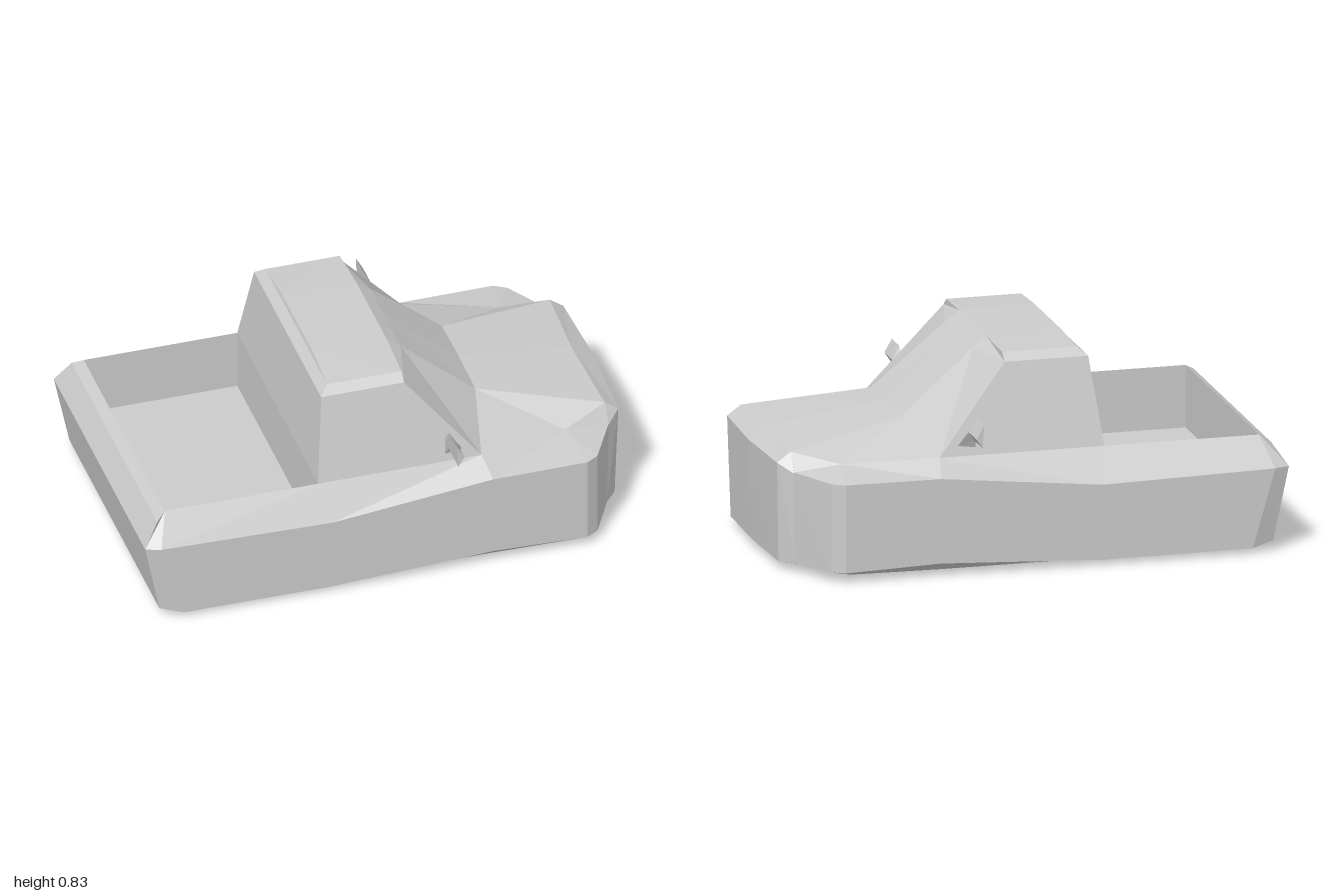
import * as THREE from 'three';

const material = new THREE.MeshStandardMaterial({ color: 0xcccccc, flatShading: true, side: THREE.DoubleSide });

// Skin between neighbouring rows of [x, y, z] points, mirrored across z = 0
function skin(name, rows, parent, reverse = false) {
  const pos = [];
  const tri = (a, b, c) => {
    const [p, q] = reverse ? [c, b] : [b, c];
    pos.push(...a, ...p, ...q);
    for (const [x, y, z] of [a, q, p]) pos.push(x, y, -z);
  };
  for (let i = 0; i < rows.length - 1; i++) {
    for (let j = 0; j < rows[i].length - 1; j++) {
      const a = rows[i][j], b = rows[i + 1][j], c = rows[i + 1][j + 1], d = rows[i][j + 1];
      tri(a, b, c);
      tri(a, c, d);
    }
  }
  const geo = new THREE.BufferGeometry();
  geo.setAttribute('position', new THREE.Float32BufferAttribute(pos, 3));
  geo.computeVertexNormals();
  const mesh = new THREE.Mesh(geo, material);
  mesh.name = name;
  parent.add(mesh);
}

export function createModel() {
  const truck = new THREE.Group();
  truck.name = 'pickupTruck';

  // Shared corner points
  const center = ([x, y]) => [x, y, 0];
  const bedRear = [-0.9, 0.45, 0.53], bedFront = [-0.28, 0.45, 0.53];
  const floorRear = [-0.9, 0.2, 0.53], floorFront = [-0.28, 0.2, 0.53];
  const pillar = [0.38, 0.45, 0.53], fender = [0.75, 0.425, 0.43];
  const lamp = [0.93, 0.4, 0.41], hoodCorner = [0.93, 0.47, 0.36], hoodTip = [0.91, 0.485, 0];
  const cowl = [0.45, 0.54, 0.22], cowlMid = [0.45, 0.55, 0];

  // Lower body: each row runs inner lip, bottom edge, shoulder, rail
  const tailgate = [
    [[-0.83, 0.02, 0], [-0.94, 0.04, 0], [-1, 0.335, 0], [-0.94, 0.425, 0], center(bedRear)],
    [[-0.83, 0.02, 0.57], [-0.94, 0.04, 0.59], [-1, 0.335, 0.6], [-0.94, 0.425, 0.56], bedRear],
  ];
  const sides = [
    [[-0.83, 0.02, 0.57], [-0.85, 0.022, 0.62], [-0.94, 0.335, 0.62], bedRear],
    [[-0.25, 0.02, 0.585], [-0.25, 0.02, 0.62], [-0.25, 0.32, 0.62], bedFront],
    [[0.4, 0.02, 0.585], [0.4, 0.052, 0.62], [0.4, 0.39, 0.62], pillar],
    [[0.75, 0.02, 0.57], [0.78, 0.04, 0.62], [0.78, 0.392, 0.62], fender],
    [[0.78, 0.02, 0.54], [0.83, 0.04, 0.59], [0.83, 0.392, 0.59], fender],
    [[0.86, 0.02, 0.39], [0.925, 0.037, 0.41], [0.93, 0.395, 0.41], lamp],
    [[0.88, 0.018, 0.34], [0.975, 0.03, 0.345], [0.985, 0.43, 0.36], hoodCorner],
    [[0.86, 0, 0], [0.985, 0.03, 0], [1, 0.43, 0], hoodTip],
  ].map((row) => [...row, row[3]]);
  skin('lowerBody', [...tailgate, ...sides], truck, true);

  // Hood and the slopes down to the fenders
  skin('hood', [[cowlMid, cowl], [hoodTip, hoodCorner]], truck, true);
  skin('fenderTops', [[cowl, cowl, cowl], [pillar, fender, hoodCorner]], truck);
  skin('lampCorners', [[fender, fender], [lamp, hoodCorner]], truck, true);

  // Cab: roof, sides, windshield and rear wall
  const rim = [[-0.24, 0.79, 0.44], [0.095, 0.79, 0.44]];
  const eave = [[-0.205, 0.82, 0.405], [0.095, 0.82, 0.405]];
  const crown = [[-0.2, 0.835, 0.2], [0.1, 0.83, 0.2]];
  const ridge = crown.map(center);
  const brow = [0.155, 0.79, 0.2];
  skin('roof', [ridge, crown, eave, rim], truck);
  skin('cabSides', [rim, [bedFront, pillar]], truck);
  skin('windshield', [
    [ridge[1], crown[1], eave[1]],
    [center(brow), brow, rim[1]],
    [cowlMid, cowl, pillar],
  ], truck, true);
  const rear = [crown[0], eave[0], rim[0], bedFront, floorFront];
  skin('cabRear', [rear.map(center), rear], truck);

  // Cargo bed: floor, inner sides and inner tailgate
  skin('bedFloor', [[floorRear, floorFront].map(center), [floorRear, floorFront]], truck, true);
  skin('bedWalls', [[bedFront, bedRear, center(bedRear)], [floorFront, floorRear, center(floorRear)]], truck);

  // Door mirrors: triangular arm widening to a flat head
  const head = [[0.24, 0.603], [0.27, 0.55], [0.245, 0.513]];
  const ring = (pts, zs) => [...pts, pts[0]].map(([x, y], i) => [x, y, zs[i % 3]]);
  const end = ring(head, [0.665, 0.665, 0.665]);
  skin('doorMirrors', [
    ring([[0.24, 0.54], [0.31, 0.48], [0.235, 0.475]], [0.5, 0.515, 0.52]),
    ring(head, [0.56, 0.55, 0.535]),
    end,
    end.map(() => [0.252, 0.555, 0.665]),
  ], truck, true);

  return truck;
}
